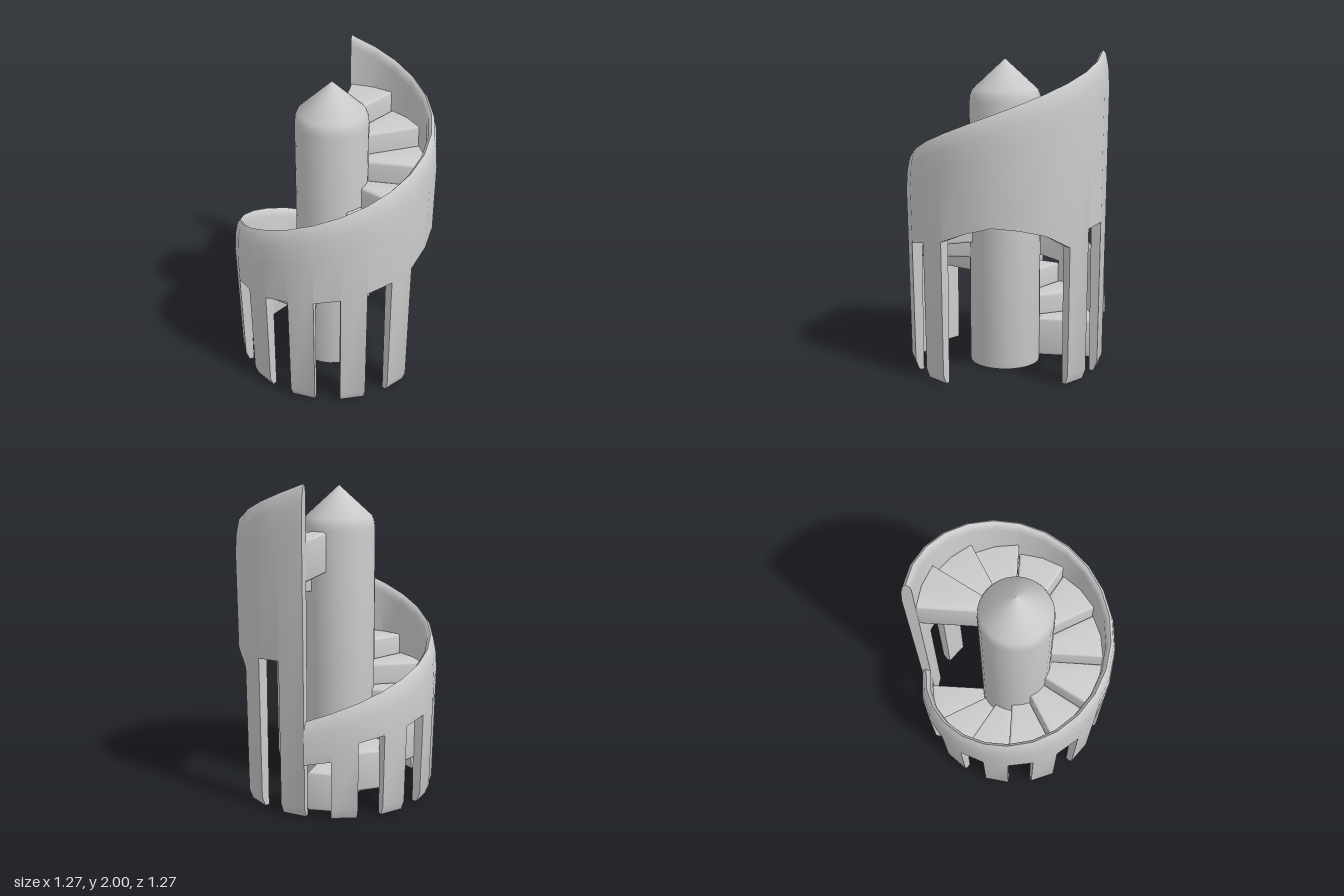
import * as THREE from 'three';
import { mergeVertices, toCreasedNormals } from 'three/addons/utils/BufferGeometryUtils.js';

const PANELS = 24;                       // wall panels in one full turn
const START = (150 * Math.PI) / 180;     // azimuth where the stair begins (0 = front, grows towards +x)
const PANEL = (Math.PI * 2) / PANELS;
const material = new THREE.MeshStandardMaterial({ color: 0xcccccc });

const polar = (r, angle, y) => [r * Math.sin(angle), y, r * Math.cos(angle)];

// Height of the rising rim at panel edge i
const rimHeight = (i) => 0.6 + (1.4 * i) / PANELS;

// Underside of the wall at both edges of panel i: legs reach the ground,
// odd gaps follow the slope, and one wide arched doorway replaces five panels
const ARCH = [0.89, 0.955, 1.0, 0.985, 0.945, 0.86];
function undersides(i) {
  if (i >= 16 && i <= 20) return [ARCH[i - 16], ARCH[i - 15]];
  if (i % 2 === 1) return [0, 0];
  if (i === 0) return [0.34, 0.37];
  return [i, i + 1].map((k) => Math.min(0.43 + 0.0285 * k, 0.95 + 0.01 * (k - 22)));
}

// Wall cross-section [radius, y]: outside going up, over the rim, inside going down
function wallSection(bottom, top) {
  const shoulder = top - 0.22;
  const leg = bottom === 0;
  const outer = (y) => THREE.MathUtils.mapLinear(y, 0.06, shoulder, 0.618, 0.635);
  return [
    [leg ? 0.595 : outer(bottom), bottom],
    leg ? [0.618, 0.06] : [outer(bottom + 0.01), bottom + 0.01],
    [0.635, shoulder],
    [0.627, top - 0.1],
    [0.61, top - 0.02],
    [0.592, top],
    [0.573, top - 0.02],
    [0.565, top - 0.06],
    [0.565, bottom],
  ];
}

function buildWall() {
  const positions = [];
  const tri = (a, b, c) => positions.push(...a, ...b, ...c);
  const cap = (ring, flip) => {
    const last = ring.length - 1;
    for (let j = 0; j < last - 1; j++) {
      if (flip) tri(ring[last], ring[j + 1], ring[j]);
      else tri(ring[last], ring[j], ring[j + 1]);
    }
  };
  for (let i = 0; i < PANELS; i++) {
    const [low0, low1] = undersides(i);
    const ring = (k, low) =>
      wallSection(low, rimHeight(k)).map(([r, y]) => polar(r, START + k * PANEL, y));
    const a = ring(i, low0);
    const b = ring(i + 1, low1);
    a.forEach((p, j) => {
      const n = (j + 1) % a.length;
      tri(p, b[j], b[n]);
      tri(p, b[n], a[n]);
    });
    // Close the sides only where the neighbouring panel differs
    if (i === 0 || undersides(i - 1)[1] !== low0) cap(a, false);
    if (i === PANELS - 1 || undersides(i + 1)[0] !== low1) cap(b, true);
  }
  const geometry = new THREE.BufferGeometry();
  geometry.setAttribute('position', new THREE.Float32BufferAttribute(positions, 3));
  return toCreasedNormals(mergeVertices(geometry), 0.6);
}

// Wedge-shaped step with softened edges, lying on y = 0
function buildStep(height) {
  const half = PANEL - 0.004;
  const bevel = 0.018;
  const shape = new THREE.Shape();
  const corner = (r, angle) => new THREE.Vector2(r * Math.sin(angle), -r * Math.cos(angle));
  shape.setFromPoints([
    corner(0.17, -half), corner(0.572, -half), corner(0.572, 0),
    corner(0.572, half), corner(0.17, half),
  ]);
  const geometry = new THREE.ExtrudeGeometry(shape, {
    depth: height - 2 * bevel,
    bevelEnabled: true,
    bevelThickness: bevel,
    bevelSize: bevel,
    bevelOffset: -bevel,
    bevelSegments: 3,
  });
  geometry.translate(0, 0, bevel);
  geometry.rotateX(-Math.PI / 2);
  return toCreasedNormals(geometry, 0.6);
}

export function createModel() {
  const model = new THREE.Group();
  model.name = 'spiralStaircase';

  const add = (name, geometry) => {
    const mesh = new THREE.Mesh(geometry, material);
    mesh.name = name;
    model.add(mesh);
    return mesh;
  };

  // Outer wall with legs, doorway and rising rim
  add('outerWall', buildWall());

  // Central column with bevelled shoulder and pointed cap
  const profile = [[0, 0], [0.222, 0], [0.226, 0.02], [0.226, 1.68], [0.222, 1.72], [0.208, 1.755], [0, 1.945]]
    .map(([r, y]) => new THREE.Vector2(r, y));
  const column = add('centralColumn', toCreasedNormals(new THREE.LatheGeometry(profile, 32), 0.6));
  column.position.set(-0.014, 0, 0.008);

  // Twelve steps climbing one full turn
  const stepGeometry = buildStep(0.25);
  for (let i = 0; i < 12; i++) {
    const step = add('step' + (i + 1), stepGeometry);
    step.rotation.y = START + (2 * i + 1) * PANEL;
    step.position.y = 0.03 + 0.127 * i;
  }
  return model;
}
